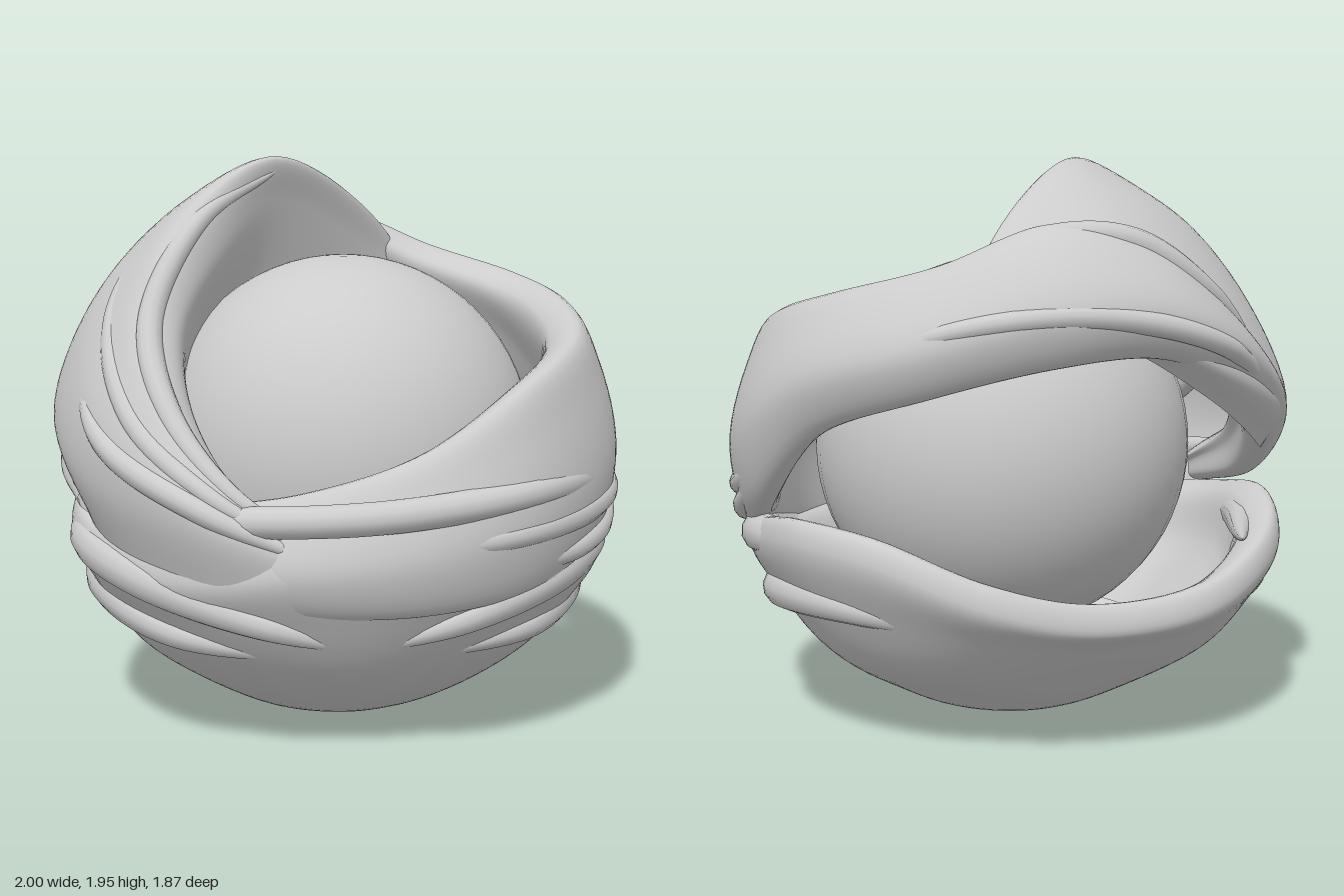
import * as THREE from 'three';
import { mergeVertices } from 'three/addons/utils/BufferGeometryUtils.js';

const clay = new THREE.MeshStandardMaterial({ color: 0xcccccc, side: THREE.DoubleSide });
clay.name = 'grey clay';

const vec = (p) => new THREE.Vector3(...p);
const mix = THREE.MathUtils.lerp;

// Point from compass angle (0 = front, 90 = +x), radius and height
const polar = (az, r, y) => {
  const a = THREE.MathUtils.degToRad(az);
  return new THREE.Vector3(Math.sin(a) * r, y, Math.cos(a) * r);
};

// Smooth skin through several lengthwise rows of points
function loft(rows, nu, nv, closedU, closedV) {
  const rails = rows.map((r) => new THREE.CatmullRomCurve3(r, closedU));
  const pos = [], index = [];
  for (let i = 0; i <= nu; i++) {
    const across = new THREE.CatmullRomCurve3(rails.map((c) => c.getPoint(i / nu)), closedV);
    for (let j = 0; j <= nv; j++) pos.push(...across.getPoint(j / nv).toArray());
  }
  for (let i = 0; i < nu; i++) {
    for (let j = 0; j < nv; j++) {
      const a = i * (nv + 1) + j, b = a + nv + 1;
      index.push(a, b, a + 1, b, b + 1, a + 1);
    }
  }
  let g = new THREE.BufferGeometry();
  g.setAttribute('position', new THREE.Float32BufferAttribute(pos, 3));
  g.setIndex(index);
  g = mergeVertices(g, 1e-4);
  g.computeVertexNormals();
  return g;
}

// Raised fold that tapers away at both ends
function fold(points, radius) {
  const n = 56, sides = 12;
  const curve = new THREE.CatmullRomCurve3(points);
  const g = new THREE.TubeGeometry(curve, n, radius, sides);
  const p = g.attributes.position, v = new THREE.Vector3();
  for (let k = 0; k < p.count; k++) {
    const t = Math.floor(k / (sides + 1)) / n;
    const c = curve.getPointAt(t);
    const s = Math.pow(Math.max(Math.sin(Math.PI * t), 0), 0.6);
    v.fromBufferAttribute(p, k).sub(c).multiplyScalar(s).add(c);
    p.setXYZ(k, v.x, v.y, v.z);
  }
  return g;
}

export function createModel() {
  const model = new THREE.Group();
  const add = (name, geometry) => {
    const m = new THREE.Mesh(geometry, clay);
    m.name = name;
    model.add(m);
    return m;
  };

  // Inner ball
  add('ball', new THREE.SphereGeometry(0.665, 48, 32)).position.set(0.02, 0.945, 0.02);

  // Bowl under the ball: angle, rim radius, rim height
  const rim = [
    [0, 0.89, 0.74], [40, 0.9, 0.67], [70, 0.93, 0.67], [112, 0.95, 0.77], [135, 0.97, 0.75],
    [158, 0.94, 0.62], [180, 0.9, 0.54], [207, 0.95, 0.57], [233, 0.97, 0.69],
    [258, 0.95, 0.77], [285, 0.93, 0.72], [320, 0.9, 0.67],
  ];
  const bowlProfile = [
    () => [0.01, 0], () => [0.26, 0.025], () => [0.5, 0.13], (R) => [R * 0.76, 0.27],
    (R, h) => [R * 0.91, mix(0.27, h, 0.42)], (R, h) => [R, h - 0.09],
    (R, h) => [R - 0.03, h], (R, h) => [R - 0.13, h - 0.04],
    (R, h) => [R - 0.21, h * 0.7], () => [0.46, 0.3],
  ];
  add('bowl', loft(
    bowlProfile.map((f) => rim.map(([az, R, h]) => polar(az, ...f(R, h)))), 112, 54, true, false));

  // Main wrap: angle, lower height, upper height, outer radius, crest radius
  const wrap = [
    [-45, 0.52, 0.82, 0.87, 0.78], [-15, 0.5, 0.89, 0.89, 0.77], [13, 0.5, 1.01, 0.91, 0.8],
    [40, 0.54, 1.22, 0.95, 0.85], [68, 0.62, 1.35, 0.98, 0.85], [95, 0.78, 1.45, 1, 0.82],
    [118, 1.06, 1.52, 0.98, 0.8], [145, 1.2, 1.61, 0.96, 0.76], [172, 1.3, 1.74, 0.94, 0.71],
    [195, 1.32, 1.7, 0.94, 0.71], [215, 1.23, 1.54, 0.96, 0.77], [240, 1.03, 1.28, 0.98, 0.86],
    [265, 0.8, 1.03, 0.98, 0.92], [283, 0.73, 0.88, 0.94, 0.88],
  ];
  const wrapSection = [
    (lo, hi, R) => [R - 0.07, lo], (lo, hi, R) => [R, mix(lo, hi, 0.35)],
    (lo, hi, R, C) => [mix(R, C, 0.4), mix(lo, hi, 0.76)], (lo, hi, R, C) => [C, hi],
    (lo, hi, R, C) => [C - 0.11, hi - 0.06], (lo, hi, R, C) => [Math.min(C - 0.05, R - 0.15), mix(lo, hi, 0.5)],
    (lo, hi, R) => [R - 0.14, lo + 0.02],
  ];
  add('mainWrap', loft(
    wrapSection.map((f) => wrap.map(([az, ...k]) => polar(az, ...f(...k)))), 150, 42, false, true));

  // Hood over the right side, from back to front: inner lip, crest, shoulder, base
  const hoodRows = [
    [[0.24, 1.56, -0.56], [-0.2, 1.8, -0.12], [-0.43, 1.62, 0.16], [-0.57, 1.38, 0.36],
      [-0.53, 1.1, 0.55], [-0.37, 0.87, 0.71]],
    [[0.27, 1.65, -0.6], [-0.2, 1.945, -0.1], [-0.51, 1.77, 0.17], [-0.69, 1.43, 0.38],
      [-0.63, 1.14, 0.61], [-0.43, 0.9, 0.77]],
    [[0.1, 1.62, -0.68], [-0.22, 1.76, -0.5], [-0.58, 1.73, -0.21], [-0.85, 1.45, 0.05],
      [-0.82, 1.1, 0.49], [-0.53, 0.88, 0.78]],
    [[-0.1, 1.42, -0.85], [-0.5, 1.27, -0.78], [-0.83, 1.12, -0.5], [-0.995, 1.07, -0.1],
      [-0.89, 0.9, 0.4], [-0.53, 0.78, 0.79]],
  ].map((r) => r.map(vec));
  // Lining pulled in towards the ball, tuck curling under the base
  const ballCentre = new THREE.Vector3(0.02, 0.945, 0.02);
  const lining = hoodRows[0].map((p) => p.clone().add(new THREE.Vector3(-0.12, -0.05, -0.16))
    .sub(ballCentre).setLength(0.64).add(ballCentre));
  const tuck = hoodRows[3].map((p, i) => new THREE.Vector3(p.x * 0.91, p.y - 0.05 * Math.min(i + 1, 5), p.z * 0.91));
  // Both ends of every row sink into the wrap
  const hood = [lining, ...hoodRows, tuck].map((r, i) => [
    new THREE.Vector3(0.43 - 0.04 * i, 1.44, -0.64 - 0.025 * i), ...r,
    polar(-10, 0.76 + 0.02 * i, 0.79 - 0.035 * i),
  ]);
  add('hood', loft(hood, 80, 48, false, false));

  // Strands along the hood lip, set between neighbouring rows
  for (const [row, blend, from] of [[1, 0.85, 2], [2, 0.55, 2], [3, 0.25, 4]]) {
    const path = hood[row].slice(from).map((p, i) => p.clone().lerp(hood[row + 1][i + from], blend).multiplyScalar(0.99));
    add('hoodStrand', fold(path, 0.045));
  }

  // Folds lying on the wrap and bowl: name, thickness, then angle, radius, height
  const folds = [
    ['frontSash', 0.055, [[-105, 0.93, 0.92], [-75, 0.92, 0.85], [-40, 0.88, 0.81], [0, 0.87, 0.83], [40, 0.91, 0.88], [80, 0.95, 0.91], [112, 0.94, 1.05]]],
    ['sideFold', 0.05, [[-15, 0.87, 0.7], [30, 0.9, 0.74], [65, 0.94, 0.79], [88, 0.95, 0.85], [114, 0.94, 1.08]]],
    ['sideFold', 0.045, [[20, 0.88, 0.62], [55, 0.92, 0.66], [80, 0.94, 0.74], [108, 0.93, 0.99]]],
    ['wrapFold', 0.04, [[110, 0.94, 1.16], [150, 0.92, 1.41], [180, 0.91, 1.46], [210, 0.94, 1.35], [250, 0.97, 1.02]]],
    ['backFold', 0.05, [[150, 0.74, 1.6], [172, 0.71, 1.7], [195, 0.73, 1.68], [215, 0.8, 1.52], [238, 0.88, 1.28]]],
  ];
  // Mirrored swags that meet low on the front
  for (const s of [1, -1]) {
    folds.push(['frontSwag', 0.075, [[s * 2, 0.72, 0.37], [s * 25, 0.81, 0.47], [s * 55, 0.86, 0.58], [s * 85, 0.88, 0.65], [s * 135, 0.89, 0.67]]]);
    folds.push(['lowerSwag', 0.065, [[s * 15, 0.7, 0.33], [s * 50, 0.78, 0.39], [s * 90, 0.83, 0.47], [s * 125, 0.865, 0.5], [s * 158, 0.83, 0.43]]]);
  }
  for (const [name, radius, pts] of folds) add(name, fold(pts.map((p) => polar(...p)), radius));

  return model;
}
